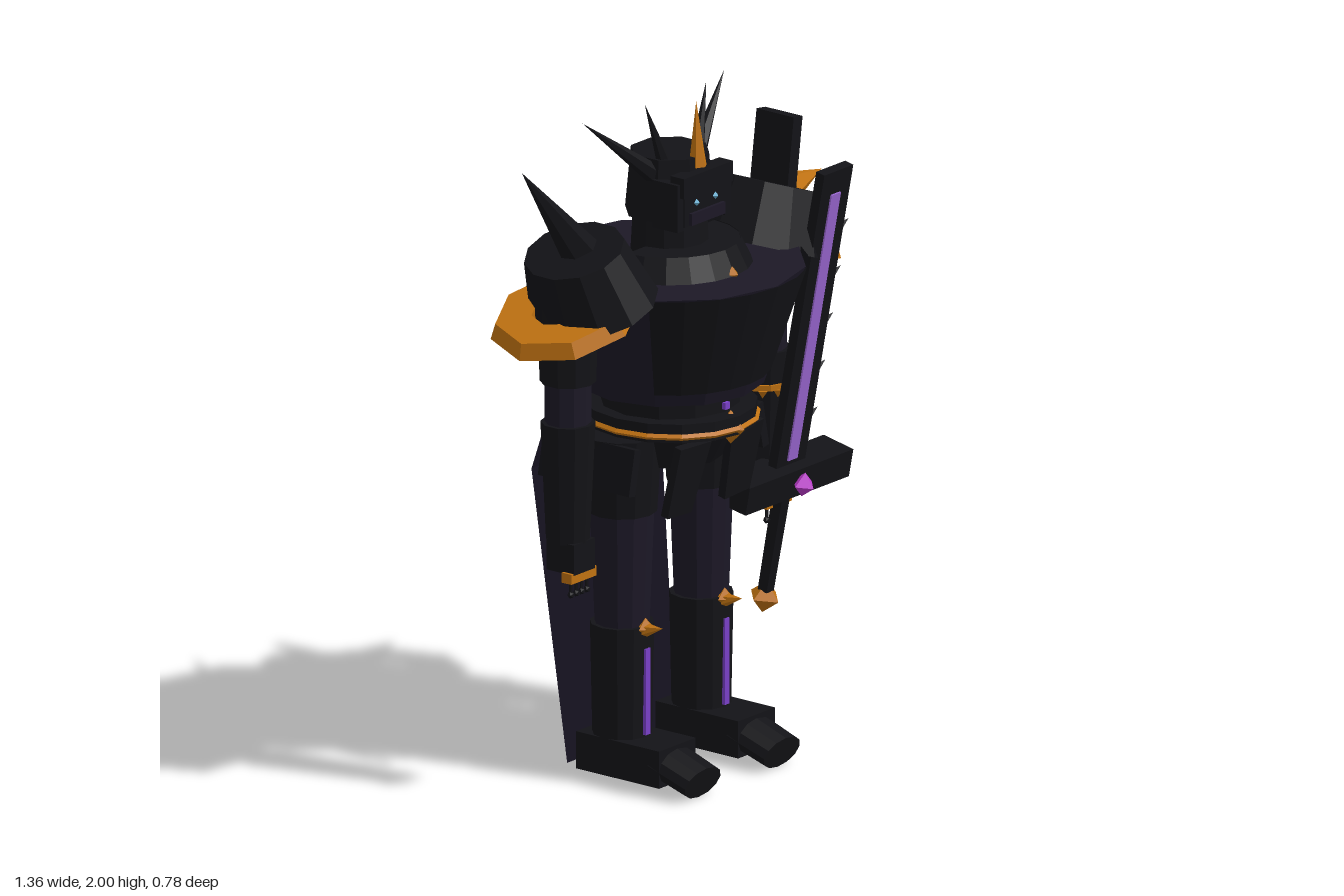
import * as THREE from 'three';

const DARK = 0x131317, CLOTH = 0x1c1826, CAPE = 0x15111f, GOLD = 0xc07212, LILAC = 0x9c68d4, PURPLE = 0x7a40c8, MAGENTA = 0xc03cd0, BLUE = 0x6ab4d8;
const mats = {};
const mat = (color) => (mats[color] ??= new THREE.MeshStandardMaterial({ color, flatShading: true, side: THREE.DoubleSide }));

function add(parent, name, geo, color, pos = [0, 0, 0], rot = [0, 0, 0]) {
  const m = new THREE.Mesh(geo, mat(color));
  m.name = name;
  m.position.set(...pos);
  m.rotation.set(...rot);
  parent.add(m);
  return m;
}
const box = (w, h, d) => new THREE.BoxGeometry(w, h, d);
const gem = (r) => new THREE.OctahedronGeometry(r);
// upright drum between two heights
const drum = (rTop, rBot, yTop, yBot, n = 12) =>
  new THREE.CylinderGeometry(rTop, rBot, yTop - yBot, n).translate(0, (yTop + yBot) / 2, 0);

function spike(parent, name, base, tip, r, color, sides = 6) {
  const a = new THREE.Vector3(...base), d = new THREE.Vector3(...tip).sub(a), len = d.length();
  const m = add(parent, name, new THREE.ConeGeometry(r, len, sides).translate(0, len / 2, 0), color, base);
  m.quaternion.setFromUnitVectors(new THREE.Vector3(0, 1, 0), d.normalize());
}

// flat trapezoid panel, extruded towards +z
function panel(top, bottom, yTop, yBot, depth) {
  const s = new THREE.Shape([[-bottom, yBot], [bottom, yBot], [top, yTop], [-top, yTop]].map((p) => new THREE.Vector2(...p)));
  return new THREE.ExtrudeGeometry(s, { depth, bevelEnabled: false });
}

// thin sheet: rows of [half width, y, z] from top to bottom
function sheet(rows) {
  const g = new THREE.PlaneGeometry(2, 1, 2, rows.length - 1), p = g.attributes.position;
  for (let i = 0; i < p.count; i++) {
    const [half, y, z] = rows[Math.floor(i / 3)];
    p.setXYZ(i, p.getX(i) * half, y, z);
  }
  g.computeVertexNormals();
  return g;
}

function buildHead(body) {
  const head = new THREE.Group();
  head.name = 'head';
  body.add(head);
  add(head, 'neck', drum(0.105, 0.115, 1.67, 1.49), DARK);
  add(head, 'helmet', drum(0.115, 0.132, 1.83, 1.65, 8).rotateY(Math.PI / 8), DARK);
  add(head, 'facePlate', box(0.19, 0.1, 0.05), DARK, [0, 1.695, 0.105]);
  add(head, 'brow', box(0.22, 0.06, 0.05), DARK, [0, 1.765, 0.115]);
  add(head, 'chinGuard', box(0.15, 0.035, 0.03), CLOTH, [0, 1.665, 0.125]);
  spike(head, 'goldHorn', [0, 1.8, 0.1], [0, 1.99, 0.095], 0.027, GOLD);
  for (const s of [-1, 1]) {
    add(head, 'eye', gem(0.011), BLUE, [s * 0.042, 1.708, 0.13]);
    add(head, 'cheekGuard', box(0.03, 0.14, 0.09), DARK, [s * 0.107, 1.705, 0.08]);
    spike(head, 'outerHorn', [s * 0.085, 1.775, 0.02], [s * 0.318, 1.972, -0.06], 0.03, DARK);
    spike(head, 'innerHorn', [s * 0.07, 1.8, 0.04], [s * 0.138, 2.0, 0.02], 0.023, DARK);
  }
}

function buildTorso(body) {
  add(body, 'chest', drum(0.388, 0.268, 1.5, 1.15), CLOTH);
  add(body, 'breastplate', new THREE.CylinderGeometry(0.392, 0.288, 0.31, 8, 1, true, -Math.PI / 3, Math.PI * 2 / 3), DARK, [0, 1.345, 0]);
  add(body, 'gorget', new THREE.CylinderGeometry(0.2, 0.235, 0.07, 10, 1, true, -Math.PI / 2, Math.PI), DARK, [0, 1.535, 0]);
  add(body, 'gorgetLining', new THREE.CylinderGeometry(0.2, 0.2, 0.07, 10, 1, false, -Math.PI / 2, Math.PI), DARK, [0, 1.533, 0]);
  add(body, 'gorgetBead', gem(0.022), GOLD, [0, 1.505, 0.225]);
  add(body, 'waist', drum(0.2, 0.2, 1.16, 1.03), DARK);
  add(body, 'waistLight', box(0.02, 0.02, 0.02), PURPLE, [0, 1.11, 0.2]);
  add(body, 'belt', drum(0.24, 0.24, 1.09, 1.035, 16).scale(1, 1, 1.06), DARK);
  add(body, 'beltBand', new THREE.TorusGeometry(0.24, 0.009, 4, 16).rotateX(Math.PI / 2).scale(1, 1, 1.06), GOLD, [0, 1.052, 0]);
  add(body, 'buckle', gem(0.05), GOLD, [0, 1.05, 0.22]);
  add(body, 'pelvis', drum(0.21, 0.15, 1.04, 0.93), DARK);
  add(body, 'cape', sheet([[0.25, 1.03, -0.25], [0.29, 0.9, -0.268], [0.245, 0.035, -0.175]]), CAPE);
}

function buildLeg(body, s) {
  const leg = new THREE.Group();
  leg.name = s > 0 ? 'leftLeg' : 'rightLeg';
  leg.position.set(s * 0.178, 0, -0.03);
  body.add(leg);
  add(leg, 'hipGuard', drum(0.115, 0.1, 1.03, 0.8), DARK);
  add(leg, 'thigh', drum(0.095, 0.078, 0.88, 0.45), CLOTH);
  add(leg, 'shin', drum(0.092, 0.085, 0.47, 0.12), DARK);
  add(leg, 'shinLight', box(0.02, 0.255, 0.012), PURPLE, [0, 0.278, 0.088]);
  add(leg, 'kneeStud', gem(0.03), GOLD, [0, 0.465, 0.085]);
  spike(leg, 'kneeSpike', [0, 0.46, 0.08], [0, 0.475, 0.147], 0.024, GOLD);
  add(leg, 'frontTasset', panel(0.07, 0.055, 0.11, -0.11, 0.025), DARK, [-s * 0.055, 0.915, 0.17], [0.23, 0, s * 0.06]);
  add(leg, 'sideTasset', box(0.028, 0.135, 0.33), DARK, [s * 0.11, 0.96, -0.03], [0, 0, s * 0.2]);
  // boot with a rounded, drooping toe cap
  add(leg, 'boot', box(0.165, 0.11, 0.3), DARK, [0, 0.087, 0.05]);
  const toe = add(leg, 'toeCap', new THREE.CylinderGeometry(0.08, 0.084, 0.14, 12).rotateX(Math.PI / 2), DARK, [0, 0.07, 0.225], [0.32, 0, 0]);
  toe.scale.y = 0.6;
  spike(leg, 'heelSpur', [0, 0.1, -0.09], [0, 0.105, -0.17], 0.02, GOLD);
}

function buildArm(body, s) {
  const arm = new THREE.Group();
  arm.name = s > 0 ? 'leftArm' : 'rightArm';
  arm.position.set(s * 0.44, 0, -0.015);
  body.add(arm);
  add(arm, 'upperArm', drum(0.088, 0.08, 1.5, 1.25, 10), DARK);
  add(arm, 'elbow', drum(0.066, 0.066, 1.27, 1.1, 10), CLOTH);
  add(arm, 'forearm', drum(0.078, 0.062, 1.13, 0.78, 10), DARK);
  add(arm, 'hand', box(0.095, 0.09, 0.1), DARK, [0, 0.74, 0.01]);
  add(arm, 'knuckles', box(0.112, 0.03, 0.035), GOLD, [0, 0.685, 0.04]);
  for (let i = 0; i < 4; i++) {
    add(arm, 'finger', drum(0.005, 0.005, 0.675, 0.635, 5), DARK, [-0.036 + i * 0.024, 0, 0.04]);
    add(arm, 'fingertip', new THREE.IcosahedronGeometry(0.011), DARK, [-0.036 + i * 0.024, 0.632, 0.04]);
  }
  if (s < 0) return;
  // scalloped gold cuff
  add(arm, 'cuff', drum(0.081, 0.08, 1.037, 1.02, 10), GOLD);
  for (let i = 0; i < 10; i++) {
    const a = (i + 0.5) * Math.PI / 5, x = 0.073 * Math.sin(a), z = 0.073 * Math.cos(a);
    spike(arm, 'cuffTooth', [x, 1.022, z], [x, 0.998, z], 0.018, GOLD, 4);
  }
}

// oval tapered shoulder cap leaning outwards, above a flared gold ring
function buildShoulder(body, s, yaw) {
  const cap = new THREE.CylinderGeometry(0.14, 0.178, 0.18, 12).scale(1, 1, 1.27).rotateZ(-s * 0.37).rotateY(yaw);
  add(body, s > 0 ? 'leftPauldron' : 'rightPauldron', cap, DARK, [s * 0.385, 1.545, 0]);
  const profile = [[0.09, 0.025], [0.195, 0.025], [0.217, -0.02], [0.1, -0.025], [0.09, 0.025]].map((p) => new THREE.Vector2(...p));
  add(body, 'shoulderRing', new THREE.LatheGeometry(profile, 8), GOLD, [s * 0.457, 1.448, -0.015], [0, 0, -s * 0.31]);
}

function buildSword(body) {
  const sword = new THREE.Group();
  sword.name = 'sword';
  sword.position.set(0.434, 0.765, 0.065);
  sword.rotation.x = 0.19;
  body.add(sword);
  add(sword, 'blade', box(0.13, 0.93, 0.03), DARK, [0, 0.5, 0]);
  add(sword, 'bladeLight', box(0.042, 0.835, 0.04), LILAC, [0, 0.475, 0]);
  add(sword, 'guard', box(0.465, 0.085, 0.11), DARK);
  add(sword, 'guardGem', gem(0.037), MAGENTA, [0, 0, 0.07]);
  add(sword, 'grip', drum(0.026, 0.023, 0, -0.36, 8), DARK);
  add(sword, 'pommel', gem(0.05), GOLD, [0, -0.38, 0]);
  for (let i = 0; i < 5; i++) {
    const y = 0.17 + i * 0.148;
    spike(sword, 'bladeThorn', [0.06, y, 0], [0.105, y + 0.018, 0], 0.016, DARK, 4);
  }
}

export function createModel() {
  const model = new THREE.Group();
  model.name = 'armouredKnight';
  const body = new THREE.Group();
  body.name = 'body';
  body.position.x = -0.026;
  model.add(body);

  buildHead(body);
  buildTorso(body);
  for (const s of [-1, 1]) {
    buildLeg(body, s);
    buildArm(body, s);
  }
  buildShoulder(body, -1, -0.4);
  buildShoulder(body, 1, 0.06);
  buildSword(body);

  // differing shoulder ornaments
  spike(body, 'rightShoulderSpike', [-0.39, 1.61, 0], [-0.604, 1.9, -0.05], 0.06, DARK);
  add(body, 'rightShoulderLight', box(0.07, 0.1, 0.08), LILAC, [-0.41, 1.495, -0.105]);
  spike(body, 'leftShoulderSpike', [0.535, 1.572, -0.015], [0.706, 1.588, -0.02], 0.052, GOLD);
  add(body, 'leftShoulderFin', box(0.04, 0.32, 0.135), DARK, [0.495, 1.645, -0.02], [0, 0, -0.14]);
  return model;
}
